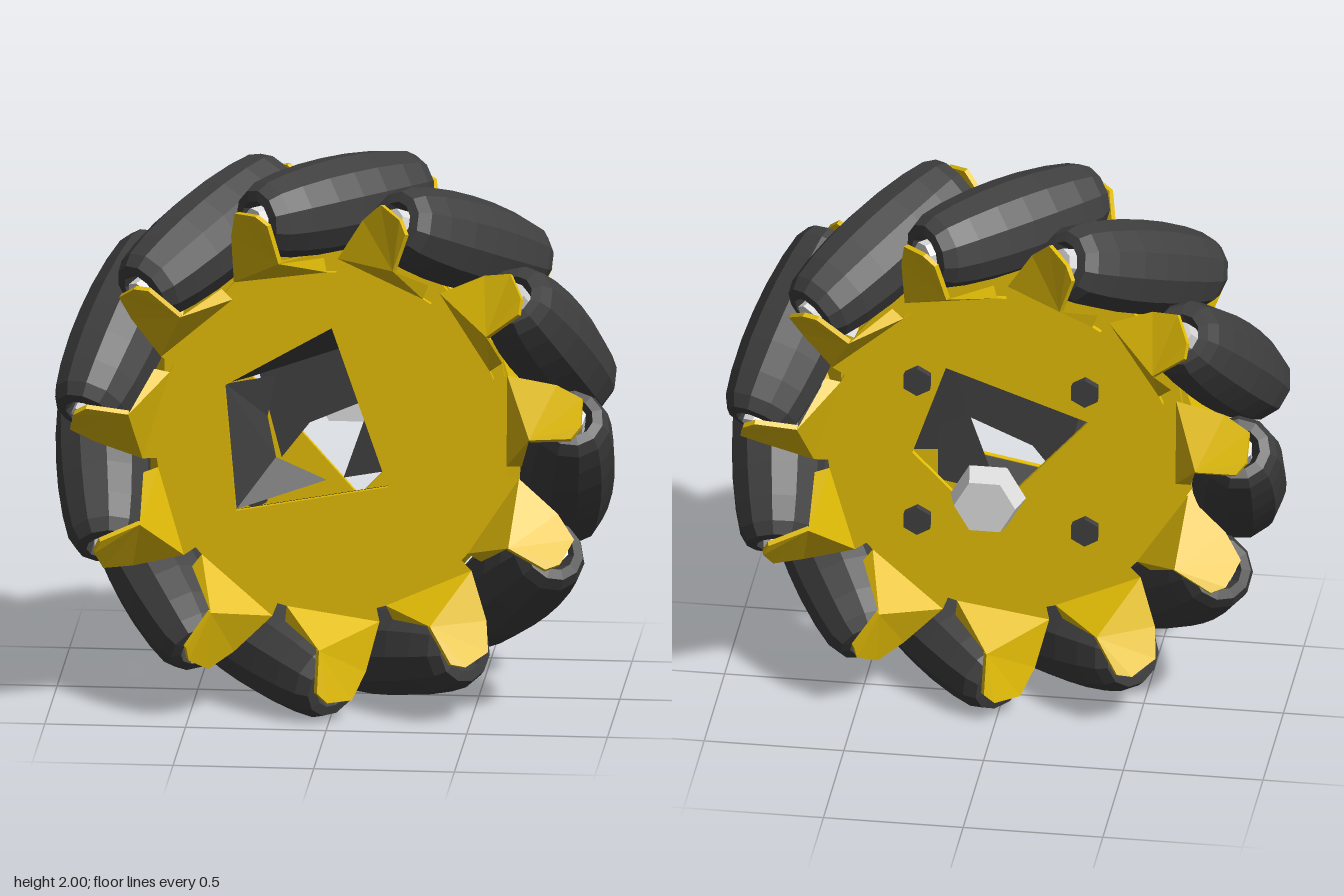
import * as THREE from 'three';

const COUNT = 11, STEP = (2 * Math.PI) / COUNT;

function material(name, color) {
  const m = new THREE.MeshStandardMaterial({ color, flatShading: true, side: THREE.DoubleSide });
  m.name = name;
  return m;
}

const v2 = (list) => list.map(([x, y]) => new THREE.Vector2(x, y));

// Flat-faced sheet from a list of polygons (each a fan of 3D corners)
function sheet(polygons) {
  const pos = [];
  for (const p of polygons)
    for (let i = 1; i < p.length - 1; i++) pos.push(...p[0], ...p[i], ...p[i + 1]);
  const g = new THREE.BufferGeometry();
  g.setAttribute('position', new THREE.Float32BufferAttribute(pos, 3));
  g.computeVertexNormals();
  return g;
}

// Eleven-sided side plate with clipped corners and an off-centre opening
function plateGeometry(hole) {
  const pts = [];
  for (let k = 0; k < COUNT; k++) {
    const a = Math.PI / 2 + (k + 0.5) * STEP;
    for (const u of [-0.16, 0.16])
      pts.push([0.605 * Math.cos(a) - u * Math.sin(a), 0.605 * Math.sin(a) + u * Math.cos(a)]);
  }
  const shape = new THREE.Shape(v2(pts));
  shape.holes.push(new THREE.Path(v2(hole)));
  const g = new THREE.ExtrudeGeometry(shape, { depth: 0.02, bevelEnabled: false });
  g.translate(0, 0, 0.145);
  return g;
}

// Bent bracket: a ramp off the plate edge and a thick upright ear tilted 45 degrees
function bracketGeometry() {
  const P = [0.16, 0.605, 0.165], Q = [-0.16, 0.605, 0.165];
  const P2 = [0.165, 0.66, 0.17], Q2 = [-0.17, 0.655, 0.165];
  const root = [0.03, 0.72, 0.335];
  const ear = [root, [0.035, 0.87, 0.363], [0, 0.91, 0.343], [-0.08, 0.92, 0.26],
    [-0.125, 0.83, 0.205], Q2];
  const inner = ear.map(([x, y, z]) => [x + 0.012, y, z - 0.014]);
  const rim = ear.map((p, i) => {
    const j = (i + 1) % ear.length;
    return [p, ear[j], inner[j], inner[i]];
  });
  return sheet([[P, Q, Q2, root], [P, root, P2], ear, inner, ...rim]);
}

export function createModel() {
  const yellow = material('yellow metal', 0xe4be06);
  const rubber = material('dark rubber', 0x404040);
  const silver = material('silver metal', 0xe0e0e0);
  const model = new THREE.Group();
  const wheel = new THREE.Group();
  wheel.name = 'wheel';
  wheel.position.set(0, 1, 0.11);
  model.add(wheel);

  const add = (parent, name, geometry, mat) => {
    const m = new THREE.Mesh(geometry, mat);
    m.name = name;
    parent.add(m);
    return m;
  };

  // Barrel rollers on slanted axles
  const rollerGeo = new THREE.LatheGeometry(v2([[0.05, -0.3], [0.075, -0.37], [0.112, -0.365],
    [0.137, -0.32], [0.154, -0.23], [0.166, -0.11], [0.169, 0], [0.166, 0.11], [0.154, 0.23],
    [0.137, 0.32], [0.112, 0.365], [0.075, 0.37], [0.05, 0.3]]), 11);
  const axleGeo = new THREE.CylinderGeometry(0.05, 0.05, 0.76, 7);
  const axis = new THREE.Vector3(-1, 0, 1).normalize();
  for (let k = 0; k < COUNT; k++) {
    const unit = new THREE.Group();
    unit.name = 'rollerUnit';
    unit.rotation.z = k * STEP;
    const tilted = new THREE.Group();
    tilted.position.y = 0.834;
    tilted.quaternion.setFromUnitVectors(new THREE.Vector3(0, 1, 0), axis);
    add(tilted, 'roller', rollerGeo, rubber);
    add(tilted, 'axle', axleGeo, silver);
    unit.add(tilted);
    wheel.add(unit);
  }

  // Front and back side plates with their brackets; the back is the front turned half round
  const frontHole = [[0, 0.42], [0.2, -0.16], [-0.34, -0.26], [-0.38, 0.2]];
  const backHole = [[0.2, 0.33], [0.32, -0.02], [0.07, -0.28], [-0.31, 0.15]];
  const bracketGeo = bracketGeometry();
  for (const back of [false, true]) {
    const side = new THREE.Group();
    side.name = back ? 'backSide' : 'frontSide';
    side.rotation.y = back ? Math.PI : 0;
    const hole = back ? backHole.map(([x, y]) => [-x, y]) : frontHole;
    add(side, 'sidePlate', plateGeometry(hole), yellow);
    for (let k = 0; k < COUNT; k++)
      add(side, 'bracket', bracketGeo, yellow).rotation.z = (k + 0.5) * STEP;
    wheel.add(side);
  }

  // Dark hub core: walls between the plates and inner webs seen through the openings
  const front = (i) => [...frontHole[i], 0.14], rear = (i) => [...backHole[i], -0.14];
  const corner = [-0.22, -0.13, -0.09];
  add(wheel, 'hubWall', sheet([
    [front(0), front(1), rear(1), rear(0)],
    [front(1), front(2), rear(2)],
    [front(3), front(0), rear(0), rear(3)],
    [front(3), front(2), corner, [-0.25, 0.02, -0.09], [-0.22, 0.17, -0.09]],
    [front(2), corner, [-0.04, -0.21, -0.09]],
  ]), rubber);
  const webs = [
    [[-0.29, 0.22], [0, 0.42], [0.19, 0.33], [0.13, 0.1], [-0.1, 0], [-0.2, -0.13]],
    [[0.13, 0.12], [0.24, 0.05], [0.24, -0.16], [0.02, -0.2]],
  ];
  for (const web of webs)
    add(wheel, 'hubWeb', new THREE.ShapeGeometry(new THREE.Shape(v2(web))), rubber)
      .position.z = -0.09;

  // Four mounting bolts through the back plate
  const boltGeo = new THREE.CylinderGeometry(0.05, 0.055, 0.08, 6).rotateX(Math.PI / 2);
  for (const x of [-0.3, 0.3])
    for (const y of [-0.28, 0.28])
      add(wheel, 'mountingBolt', boltGeo, rubber).position.set(x, y, -0.155);

  // Separate hub nut behind the wheel
  const nutGeo = new THREE.CylinderGeometry(0.135, 0.11, 0.09, 6).rotateX(Math.PI / 2);
  const nut = add(model, 'hubNut', nutGeo, silver);
  nut.position.set(0, 1.01, -0.43);
  nut.rotation.z = Math.PI / 6;

  return model;
}
